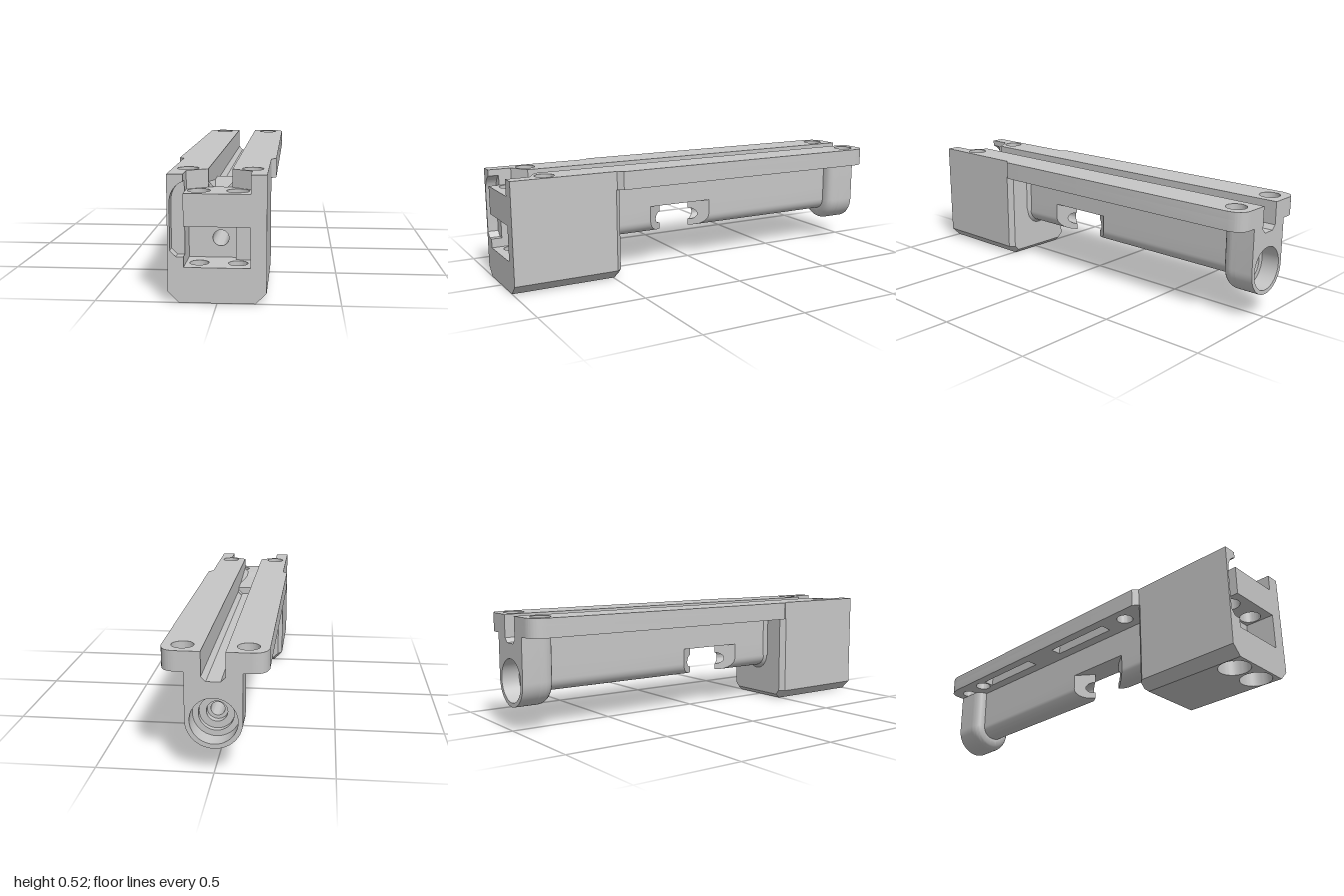
import * as THREE from 'three';
import { toCreasedNormals } from 'three/addons/utils/BufferGeometryUtils.js';

const BORE_Y = 0.23;
const BODY = 0.067; // half width of the body under the deck

function poly(points) {
  return new THREE.Shape(points.map(([x, y]) => new THREE.Vector2(x, y)));
}

function circle(x, y, r) {
  return new THREE.Path().absarc(x, y, r, 0, Math.PI * 2, false);
}

function rect(x0, x1, y0, y1) {
  return poly([[x0, y0], [x1, y0], [x1, y1], [x0, y1]]);
}

// Extrude a front-on shape from z0 to z1; rule(v) may then move each vertex.
function alongZ(shape, z0, z1, rule, steps = 1) {
  const geo = new THREE.ExtrudeGeometry(shape, { depth: z1 - z0, steps, bevelEnabled: false, curveSegments: 28 });
  geo.translate(0, 0, z0);
  if (rule) {
    const pos = geo.attributes.position;
    const v = new THREE.Vector3();
    for (let i = 0; i < pos.count; i++) {
      rule(v.fromBufferAttribute(pos, i));
      pos.setXYZ(i, v.x, v.y, v.z);
    }
  }
  return toCreasedNormals(geo, 0.5);
}

// Extrude a plan shape, drawn as (x, -z), from y0 to y1.
function alongY(shape, y0, y1) {
  const geo = new THREE.ExtrudeGeometry(shape, { depth: y1 - y0, bevelEnabled: false, curveSegments: 28 });
  geo.rotateX(-Math.PI / 2).translate(0, y0, 0);
  return toCreasedNormals(geo, 0.5);
}

export function createModel() {
  const group = new THREE.Group();
  const grey = new THREE.MeshStandardMaterial({ color: 0xc6c6c6 });
  grey.name = 'plain grey';
  const add = (name, geo) => {
    const mesh = new THREE.Mesh(geo, grey);
    mesh.name = name;
    group.add(mesh);
  };

  // Rail deck: two mirrored halves, each a lower layer with pockets and a plain upper layer
  const deckShape = (s, pockets) => {
    const front = s > 0 ? 1 : 0.95;
    const shape = new THREE.Shape();
    shape.moveTo(s * 0.05, 1);
    shape.lineTo(s * 0.152, 1);
    shape.quadraticCurveTo(s * 0.2, 1, s * 0.215, 0.96);
    shape.lineTo(s * 0.222, 0.93);
    shape.lineTo(s * 0.222, -0.465);
    shape.lineTo(s * 0.2, -0.49);
    shape.lineTo(s * 0.2, -front);
    shape.lineTo(s * 0.135, -front);
    shape.lineTo(s * 0.135, -0.89);
    shape.lineTo(s * 0.05, -0.835);
    shape.closePath();
    shape.holes.push(circle(s * 0.135, -0.82, 0.045));
    shape.holes.push(circle(s * 0.135, 0.915, pockets ? 0.037 : 0.047));
    if (pockets) {
      for (const z of [-0.77, 0.35]) shape.holes.push(circle(s * 0.147, -z, 0.04));
      for (const [z0, z1] of [[-0.72, -0.34], [-0.15, 0.22]]) {
        shape.holes.push(rect(s * 0.147 - 0.028, s * 0.147 + 0.028, -z1, -z0));
      }
    }
    return shape;
  };
  for (const s of [1, -1]) {
    add('deckLower', alongY(deckShape(s, true), 0.438, 0.49));
    add('deckUpper', alongY(deckShape(s, false), 0.49, 0.525));
  }

  // Shallow front end of the groove, ramping down to the deeper rear channel
  add('grooveFloor', alongZ(poly([
    [-0.05, 0.42], [0.05, 0.42], [0.05, 0.47], [0.03, 0.448], [-0.03, 0.448], [-0.05, 0.47],
  ]), 0.42, 0.825, (v) => {
    if (v.z < 0.43) v.y -= 0.048;
  }));

  // Solid part of the front block, with the bore opening into a countersink
  const blockShape = poly([[-0.155, 0], [0.155, 0], [0.2, 0.045], [0.2, 0.438], [-0.2, 0.438], [-0.2, 0.045]]);
  blockShape.holes.push(circle(0, BORE_Y, 0.027));
  add('blockCore', alongZ(blockShape, 0.495, 0.82, (v) => {
    if (v.z > 0.8 && Math.hypot(v.x, v.y - BORE_Y) < 0.04) {
      v.x *= 1.26;
      v.y = BORE_Y + (v.y - BORE_Y) * 1.26;
    }
  }));
  add('blockBackChamfer', alongZ(blockShape, 0.47, 0.495, (v) => {
    if (v.z < 0.48) {
      v.x = THREE.MathUtils.clamp(v.x, -0.178, 0.178);
      v.y = Math.max(v.y, 0.022);
    }
  }));

  // Side walls of the front chamber
  const wall = (s) => poly([
    [s * 0.155, 0], [s * 0.2, 0.045], [s * 0.2, 0.438], [s * 0.135, 0.438], [s * 0.135, 0.147], [s * 0.155, 0.147],
  ]);
  add('leftWall', alongZ(wall(1), 0.82, 1));
  add('rightWall', alongZ(wall(-1), 0.82, 0.95));

  // Front rim around the shallow side pocket
  const rim = new THREE.Shape();
  rim.moveTo(-0.155, 0);
  rim.lineTo(-0.135, 0);
  rim.lineTo(-0.135, 0.19);
  rim.lineTo(-0.165, 0.19);
  rim.lineTo(-0.19, 0.215);
  rim.lineTo(-0.19, 0.415);
  rim.quadraticCurveTo(-0.185, 0.475, -0.135, 0.495);
  rim.lineTo(-0.135, 0.525);
  rim.lineTo(-0.2, 0.525);
  rim.lineTo(-0.2, 0.045);
  rim.closePath();
  add('pocketRim', alongZ(rim, 0.95, 1));

  // Shelf and chamber floor, pierced by two vertical screw holes
  const pierced = (w, r) => {
    const shape = rect(-w, w, -1, -0.82);
    for (const s of [1, -1]) shape.holes.push(circle(s * 0.08, -0.917, r));
    return shape;
  };
  add('shelf', alongY(pierced(0.135, 0.047), 0.314, 0.448));
  add('chamberFloor', alongY(pierced(0.155, 0.04), 0.11, 0.147));
  add('floorCounterbores', alongY(pierced(0.155, 0.072), 0, 0.11));
  add('chamberStep', alongZ(rect(0.067, 0.135, 0.147, 0.314), 0.82, 0.86));

  // Upper body with the deep rear channel cut into its top
  const channel = [[0.05, 0.438], [0.05, 0.42], [0.03, 0.4], [-0.03, 0.4], [-0.05, 0.42], [-0.05, 0.438]];
  add('bodyTop', alongZ(poly([
    [-BODY, 0.305], [BODY, 0.305], [BODY, 0.438], ...channel, [-BODY, 0.438],
  ]), -0.86, 0.47));

  // Rounded bore housing, split by a wedge-ended gap
  const housing = (s) => {
    const shape = new THREE.Shape();
    shape.moveTo(0, 0.305);
    shape.lineTo(s * BODY, 0.305);
    shape.lineTo(s * BODY, BORE_Y);
    for (let i = 1; i <= 10; i++) {
      const a = (i / 10) * Math.PI / 2;
      shape.lineTo(s * (BODY - 0.06 + 0.06 * Math.cos(a)), BORE_Y - 0.06 * Math.sin(a));
    }
    shape.lineTo(0, 0.17);
    for (let i = 0; i <= 14; i++) {
      const a = -Math.PI / 2 + (i / 14) * Math.PI;
      shape.lineTo(s * 0.03 * Math.cos(a), BORE_Y + 0.03 * Math.sin(a));
    }
    return shape;
  };
  for (const s of [1, -1]) {
    add('rearHousing', alongZ(housing(s), -0.86, 0, (v) => {
      if (v.z > -0.1) v.z -= 1.32 * Math.abs(v.x);
    }));
    add('frontHousing', alongZ(housing(s), 0.165, 0.47, (v) => {
      if (v.z < 0.2) v.z += 1.28 * Math.abs(v.x);
    }));
  }

  // Flared collar where the body meets the block
  const collar = new THREE.Shape();
  collar.moveTo(BODY, 0.438);
  collar.lineTo(-BODY, 0.438);
  collar.lineTo(-BODY, BORE_Y);
  collar.absarc(0, BORE_Y, BODY - 0.004, Math.PI, Math.PI * 2, false);
  collar.lineTo(BODY, BORE_Y);
  collar.holes.push(circle(0, BORE_Y, 0.03));
  add('bodyCollar', alongZ(collar, 0.452, 0.471, (v) => {
    if (v.z < 0.46 || Math.hypot(v.x, v.y - BORE_Y) < 0.04) return;
    v.x *= 1.25;
    if (v.y < BORE_Y) v.y = BORE_Y + (v.y - BORE_Y) * 1.25;
  }));

  // Rear lug with a stepped socket and a filleted inner end
  const lug = (r) => {
    const shape = poly([[0.12, 0.438], ...channel, [-0.12, 0.438], [-0.12, BORE_Y]]);
    for (let i = 1; i <= 28; i++) {
      const a = Math.PI * (1 + i / 28);
      shape.lineTo(0.12 * Math.cos(a), BORE_Y + 0.12 * Math.sin(a));
    }
    shape.holes.push(circle(0, BORE_Y, r));
    return shape;
  };
  add('lugSocket', alongZ(lug(0.1), -1, -0.915));
  add('lugStep', alongZ(lug(0.075), -0.915, -0.89));
  add('lugFillet', alongZ(lug(0.045), -0.89, -0.84, (v) => {
    const dy = Math.min(v.y - BORE_Y, 0);
    const d = Math.hypot(v.x, dy);
    if (d < 0.06) return;
    const t = Math.min(1, (v.z + 0.89) / 0.05);
    const k = (d - 0.045 * (1 - Math.sqrt(1 - t * t))) / d;
    v.x *= k;
    if (dy < 0) v.y = BORE_Y + dy * k;
  }, 8));

  return group;
}
